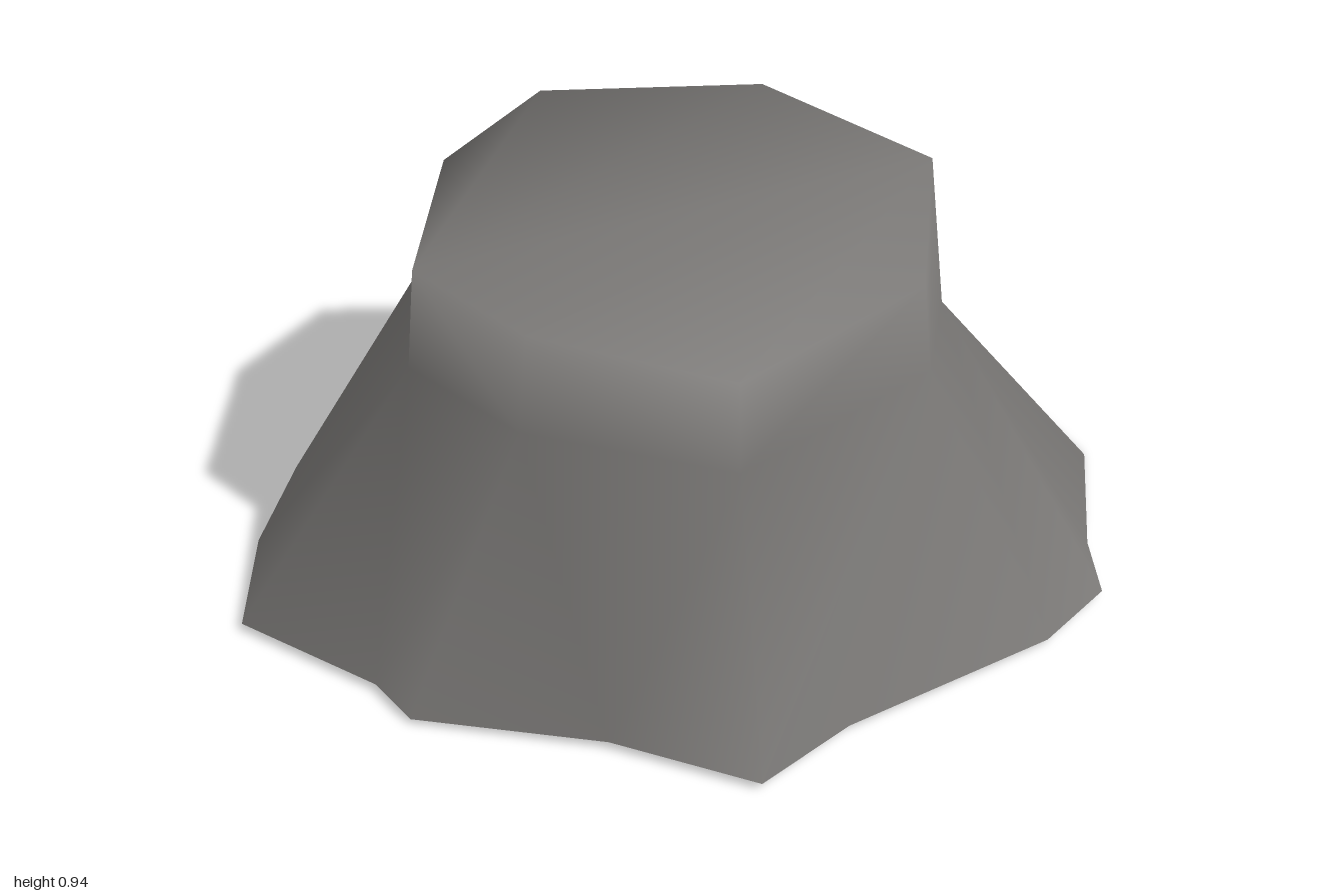
import * as THREE from 'three';

// Rings run left, back, right, front; each point is [x, y, z]
const RIM = [
  [-0.58, 0.88, 0.02], [-0.45, 0.9, -0.36], [-0.2, 0.925, -0.56], [0.28, 0.935, -0.46],
  [0.56, 0.925, -0.09], [0.42, 0.895, 0.33], [-0.02, 0.87, 0.54], [-0.4, 0.88, 0.3],
];
const NECK = [
  [-0.6, 0.64, 0.02], [-0.53, 0.6, -0.37], [-0.2, 0.5, -0.53], [0.3, 0.56, -0.45],
  [0.6, 0.55, -0.09], [0.44, 0.68, 0.33], [-0.02, 0.66, 0.555], [-0.42, 0.65, 0.31],
];
const FOOT = [
  [-1, 0.02, 0.02], [-0.93, 0.015, -0.27], [-0.81, 0, -0.545], [-0.45, 0.02, -0.775],
  [-0.28, 0.02, -0.78], [-0.02, 0.02, -0.67], [0.475, 0.02, -0.67], [0.81, 0.02, -0.52],
  [0.94, 0.015, -0.37], [1, 0.005, -0.165], [0.89, 0.02, 0.17], [0.865, 0.02, 0.34],
  [0.695, 0.02, 0.47], [0.2, 0.025, 0.645], [-0.02, 0.02, 0.77], [-0.3, 0.02, 0.575],
  [-0.69, 0.015, 0.405], [-0.745, 0.02, 0.285],
];

// Angle round the ring, starting on the -x side
function angle(ring, i) {
  const [x, , z] = ring[i % ring.length];
  const a = Math.atan2(-z, -x);
  return (a < -0.1 ? a + Math.PI * 2 : a) + (i >= ring.length ? Math.PI * 2 : 0);
}

// Joins two rings with triangles, stepping along whichever ring lags behind
function stitch(upper, lower, u0, l0, index) {
  const U = upper.length, L = lower.length;
  let i = 0, j = 0;
  while (i < U || j < L) {
    const stepUpper = j === L || (i < U && angle(upper, i + 1) <= angle(lower, j + 1));
    const u = u0 + (i % U), l = l0 + (j % L);
    if (stepUpper) {
      index.push(u, u0 + ((i + 1) % U), l);
      i++;
    } else {
      index.push(u, l0 + ((j + 1) % L), l);
      j++;
    }
  }
}

export function createModel() {
  const group = new THREE.Group();
  group.name = 'rockStump';

  const stone = new THREE.MeshStandardMaterial({ color: 0x7a7876, side: THREE.DoubleSide });
  stone.name = 'stone grey';

  const index = [];
  const neck0 = RIM.length, foot0 = RIM.length + NECK.length;
  // Upright neck and flared skirt
  stitch(RIM, NECK, 0, neck0, index);
  stitch(NECK, FOOT, neck0, foot0, index);
  // Slanting top
  index.push(0, 2, 1, 0, 3, 2, 0, 4, 3, 0, 7, 4, 4, 7, 6, 4, 6, 5);

  // Smooth shell, open underneath
  const geometry = new THREE.BufferGeometry();
  const points = [...RIM, ...NECK, ...FOOT].flat();
  geometry.setAttribute('position', new THREE.Float32BufferAttribute(points, 3));
  geometry.setIndex(index);
  geometry.computeVertexNormals();

  const shell = new THREE.Mesh(geometry, stone);
  shell.name = 'stumpShell';
  group.add(shell);
  return group;
}
